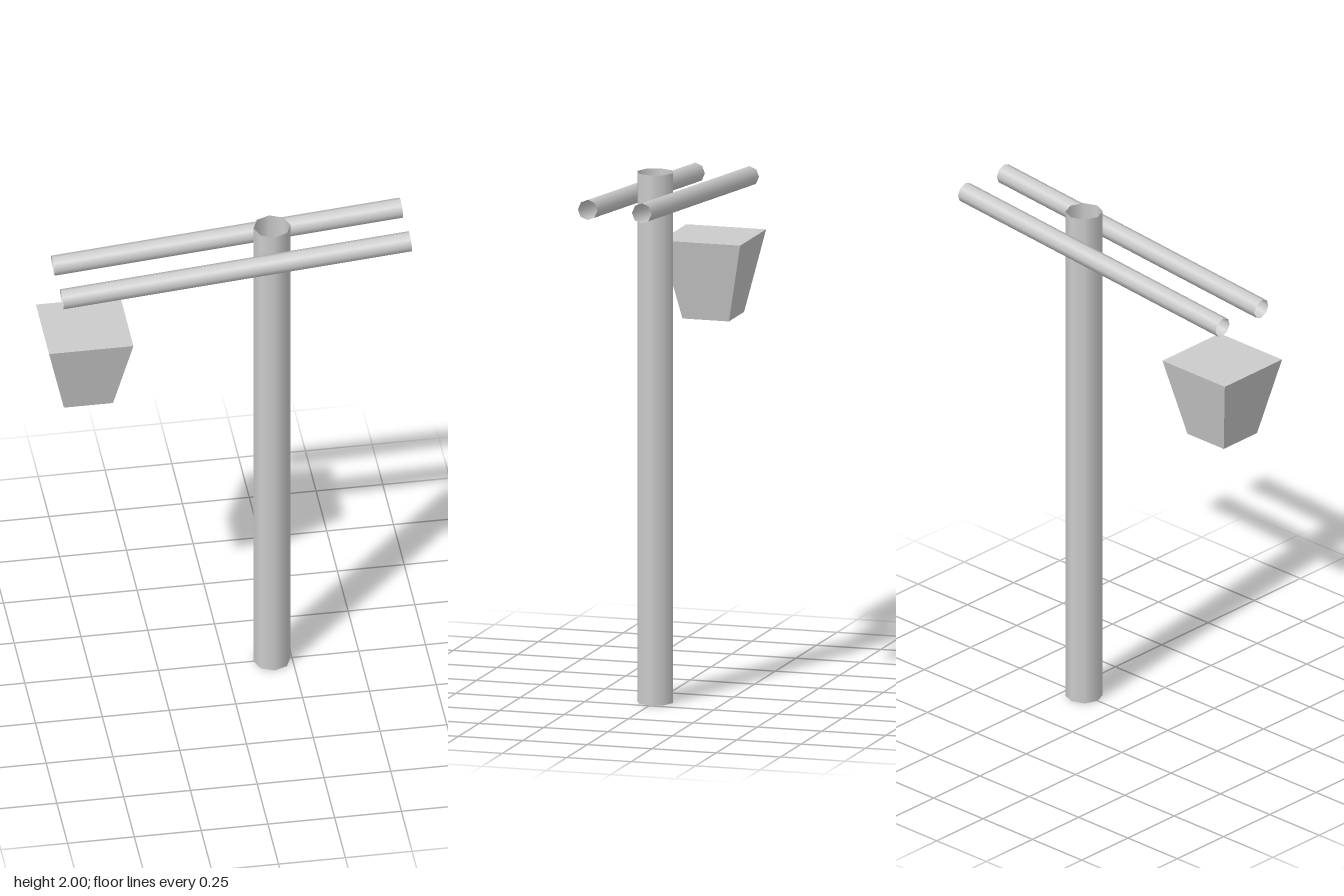
import * as THREE from 'three';

const smooth = new THREE.MeshStandardMaterial({ color: 0xcccccc, side: THREE.DoubleSide });
const faceted = new THREE.MeshStandardMaterial({ color: 0xcccccc, flatShading: true });

// Open-ended tube between two points
function pole(name, radius, from, to) {
  const dir = to.clone().sub(from);
  const geometry = new THREE.CylinderGeometry(radius, radius, dir.length(), 8, 1, true);
  const mesh = new THREE.Mesh(geometry, smooth);
  mesh.name = name;
  mesh.position.copy(from).add(to).multiplyScalar(0.5);
  mesh.quaternion.setFromUnitVectors(new THREE.Vector3(0, 1, 0), dir.normalize());
  return mesh;
}

export function createModel() {
  const model = new THREE.Group();
  model.name = 'counterweightLift';

  // Upright post
  model.add(pole('post', 0.069, new THREE.Vector3(0.175, 0, 0), new THREE.Vector3(0.175, 2, 0)));

  // Pair of tilted beams, one on each side of the post
  for (const [name, z] of [['frontBeam', 0.102], ['backBeam', -0.108]]) {
    model.add(pole(name, 0.038, new THREE.Vector3(-0.628, 1.834, z), new THREE.Vector3(0.677, 1.948, z)));
  }

  // Tapered square block hanging below the low end of the beams
  const taper = new THREE.CylinderGeometry(0.158 * Math.SQRT2, 0.092 * Math.SQRT2, 0.303, 4);
  taper.rotateY(Math.PI / 4);
  const block = new THREE.Mesh(taper, faceted);
  block.name = 'hangingBlock';
  block.position.set(-0.526, 1.474, -0.001);
  block.scale.z = 0.98;
  model.add(block);

  return model;
}
